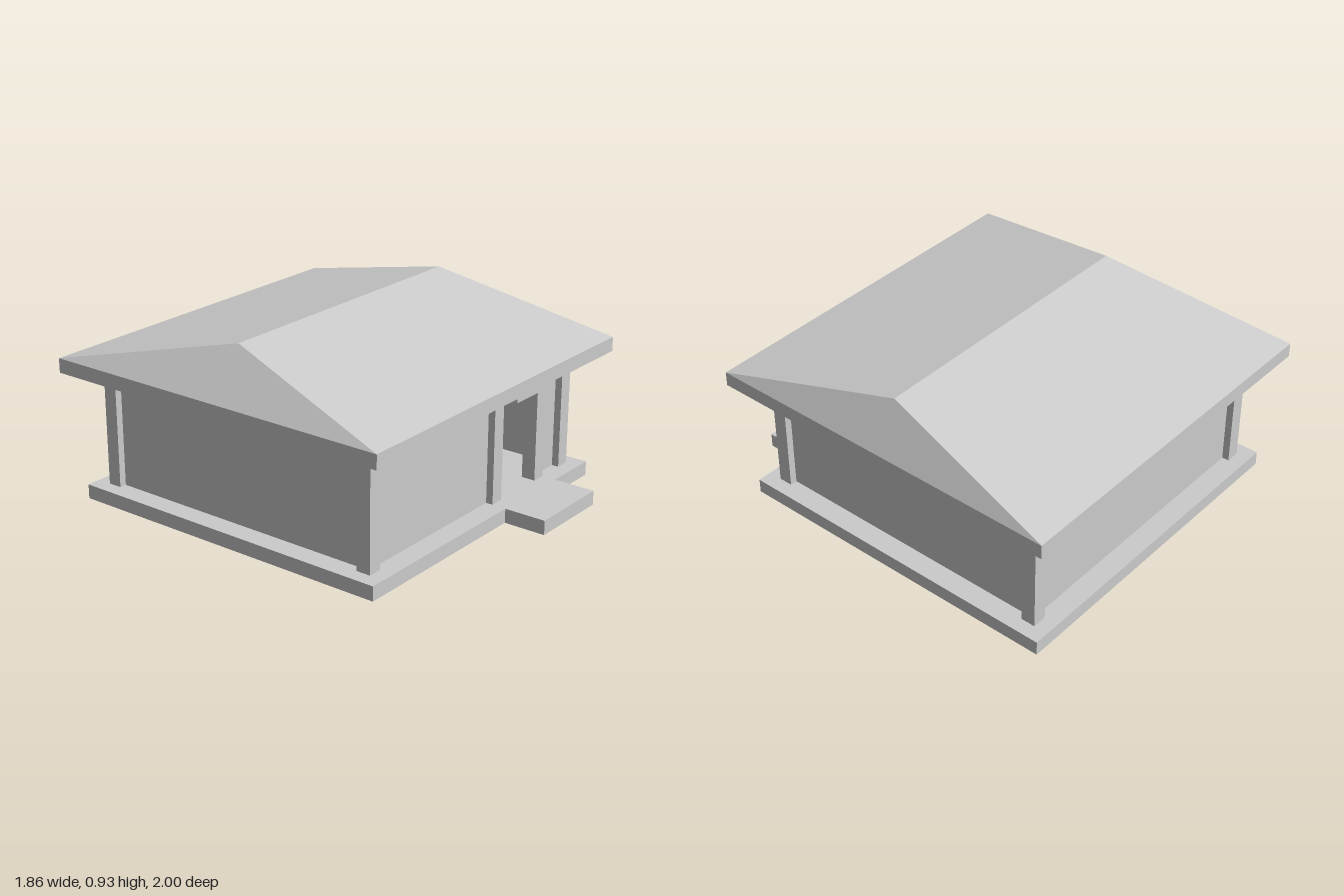
import * as THREE from 'three';

const U = 1 / 14; // building module: every part sits on this grid
const material = new THREE.MeshStandardMaterial({ color: 0xcccccc, flatShading: true });

// Box given by its extents in modules
function block(name, [x0, x1], [y0, y1], [z0, z1]) {
  const mesh = new THREE.Mesh(new THREE.BoxGeometry((x1 - x0) * U, (y1 - y0) * U, (z1 - z0) * U), material);
  mesh.position.set((x0 + x1) / 2 * U, (y0 + y1) / 2 * U, (z0 + z1) / 2 * U);
  mesh.name = name;
  return mesh;
}

// Hipped roof: eave rectangle, raised by the fascia, closing to an off-centre ridge
function hippedRoof() {
  const corners = [[-13, 12], [13, 12], [13, -14], [-13, -14]];
  const points = [
    ...corners.map(([x, z]) => [x, 9, z]),
    ...corners.map(([x, z]) => [x, 10, z]),
    [-10, 13, -1], [11, 13, -1],
  ];
  const index = [0, 2, 1, 0, 3, 2]; // soffit
  for (let i = 0; i < 4; i++) { // fascia
    const j = (i + 1) % 4;
    index.push(i, j, j + 4, i, j + 4, i + 4);
  }
  index.push(4, 5, 9, 4, 9, 8, 6, 7, 8, 6, 8, 9); // long slopes
  index.push(5, 6, 9, 7, 4, 8); // hip ends
  const indexed = new THREE.BufferGeometry();
  indexed.setAttribute('position', new THREE.Float32BufferAttribute(points.flat().map(v => v * U), 3));
  indexed.setIndex(index);
  const geometry = indexed.toNonIndexed();
  geometry.computeVertexNormals();
  const mesh = new THREE.Mesh(geometry, material);
  mesh.name = 'roof';
  return mesh;
}

export function createModel() {
  const house = new THREE.Group();
  house.name = 'house';

  // Floor slab and front step as one outline
  const outline = [[-12, 13], [-12, -11], [2, -11], [2, -14], [8, -14], [8, -11], [12, -11], [12, 13]];
  const shape = new THREE.Shape(outline.map(([x, y]) => new THREE.Vector2(x * U, y * U)));
  const slab = new THREE.Mesh(new THREE.ExtrudeGeometry(shape, { depth: U, bevelEnabled: false }), material);
  slab.rotation.x = -Math.PI / 2;
  slab.name = 'floorSlab';
  house.add(slab);

  // Corner posts and door posts
  const height = [1, 9];
  for (const x of [-11, 10]) {
    for (const z of [-12, 9]) house.add(block('cornerPost', [x, x + 1], height, [z, z + 1]));
  }
  for (const x of [2, 7]) house.add(block('doorPost', [x, x + 1], height, [9, 10]));

  // Thin walls set back between the posts, leaving the doorway open
  house.add(block('frontWallRight', [-10, 2], height, [9.3, 9.5]));
  house.add(block('frontWallLeft', [8, 10], height, [9.3, 9.5]));
  house.add(block('backWall', [-10, 10], height, [-11.5, -11.3]));
  house.add(block('rightWall', [-10.5, -10.3], height, [-11, 9]));
  house.add(block('leftWall', [10.3, 10.5], height, [-11, 9]));

  // Beam hung in front of the doorway
  house.add(block('doorBeam', [3, 7], [8, 9], [10, 11]));

  house.add(hippedRoof());
  return house;
}
